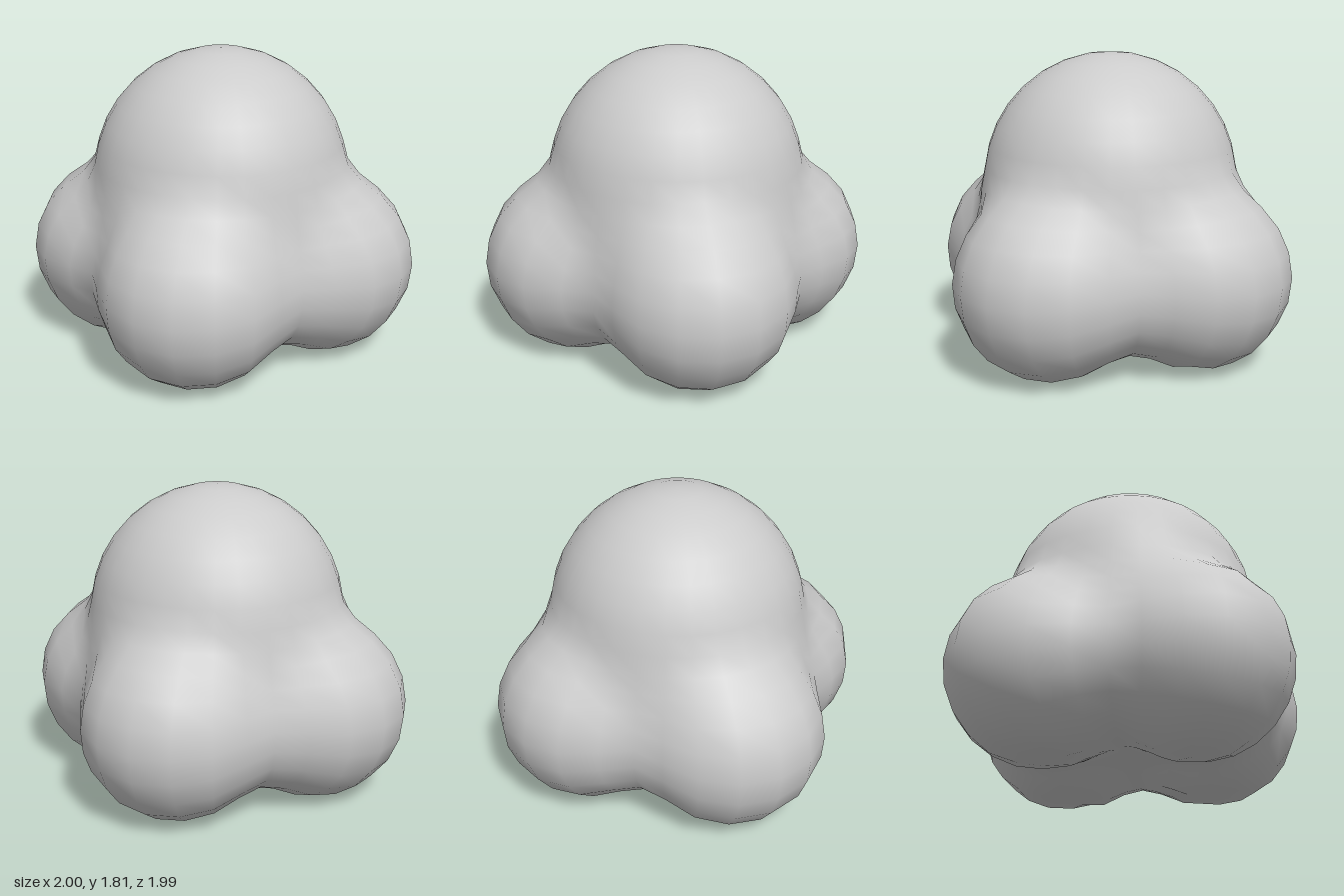
import * as THREE from 'three';
import { mergeVertices } from 'three/addons/utils/BufferGeometryUtils.js';

// Rounded volumes: x, y, z, radius
const LOBES = [
  [0.442, 0.535, 0.435, 0.557],
  [-0.445, 0.53, 0.425, 0.557],
  [0.42, 0.535, -0.435, 0.557],
  [-0.445, 0.53, -0.44, 0.557],
];
const BELLY = [0, 0.93, 0, 0.785];
const DOME = [0, 1.05, 0, 0.762];
const CENTRE = new THREE.Vector3(0, 0.7, 0);

const ball = (p, [x, y, z, r]) => Math.hypot(p.x - x, p.y - y, p.z - z) - r;

// Smooth union of two distances
function blend(a, b, k) {
  const h = Math.max(k - Math.abs(a - b), 0) / k;
  return Math.min(a, b) - h * h * k * 0.25;
}

function distance(p) {
  const [first, ...others] = LOBES;
  let lobes = ball(p, first);
  for (const lobe of others) lobes = blend(lobes, ball(p, lobe), 0.25);
  const trunk = Math.min(ball(p, BELLY), ball(p, DOME));
  return blend(lobes, trunk, 0.14);
}

// Flattened undersides: the lobes on the left sit a little higher
function floorHeight(p) {
  if (p.x > 0) return 0.04 * Math.min(p.x / 0.3, 1);
  return p.z < 0 ? 0.015 * Math.min(-p.z / 0.3, 1) : 0;
}

// Push every vertex of a coarse sphere along its ray to the blended surface
function blobGeometry() {
  let geo = new THREE.SphereGeometry(1, 32, 24);
  geo.deleteAttribute('uv');
  geo.deleteAttribute('normal');
  geo = mergeVertices(geo, 1e-4);
  const pos = geo.attributes.position;
  const dir = new THREE.Vector3();
  const p = new THREE.Vector3();
  for (let i = 0; i < pos.count; i++) {
    dir.fromBufferAttribute(pos, i).normalize();
    let near = 0.05, far = 1.8;
    for (let n = 0; n < 30; n++) {
      const mid = (near + far) / 2;
      p.copy(CENTRE).addScaledVector(dir, mid);
      if (distance(p) < 0) near = mid;
      else far = mid;
    }
    p.copy(CENTRE).addScaledVector(dir, near);
    pos.setXYZ(i, p.x, Math.max(p.y, floorHeight(p)), p.z);
  }
  geo.computeVertexNormals();
  return geo;
}

export function createModel() {
  const group = new THREE.Group();
  group.name = 'lobedBlob';
  // Domed body with four fused lobes
  const body = new THREE.Mesh(
    blobGeometry(),
    new THREE.MeshStandardMaterial({ color: 0xcccccc })
  );
  body.name = 'domedBodyWithLobes';
  group.add(body);
  return group;
}
